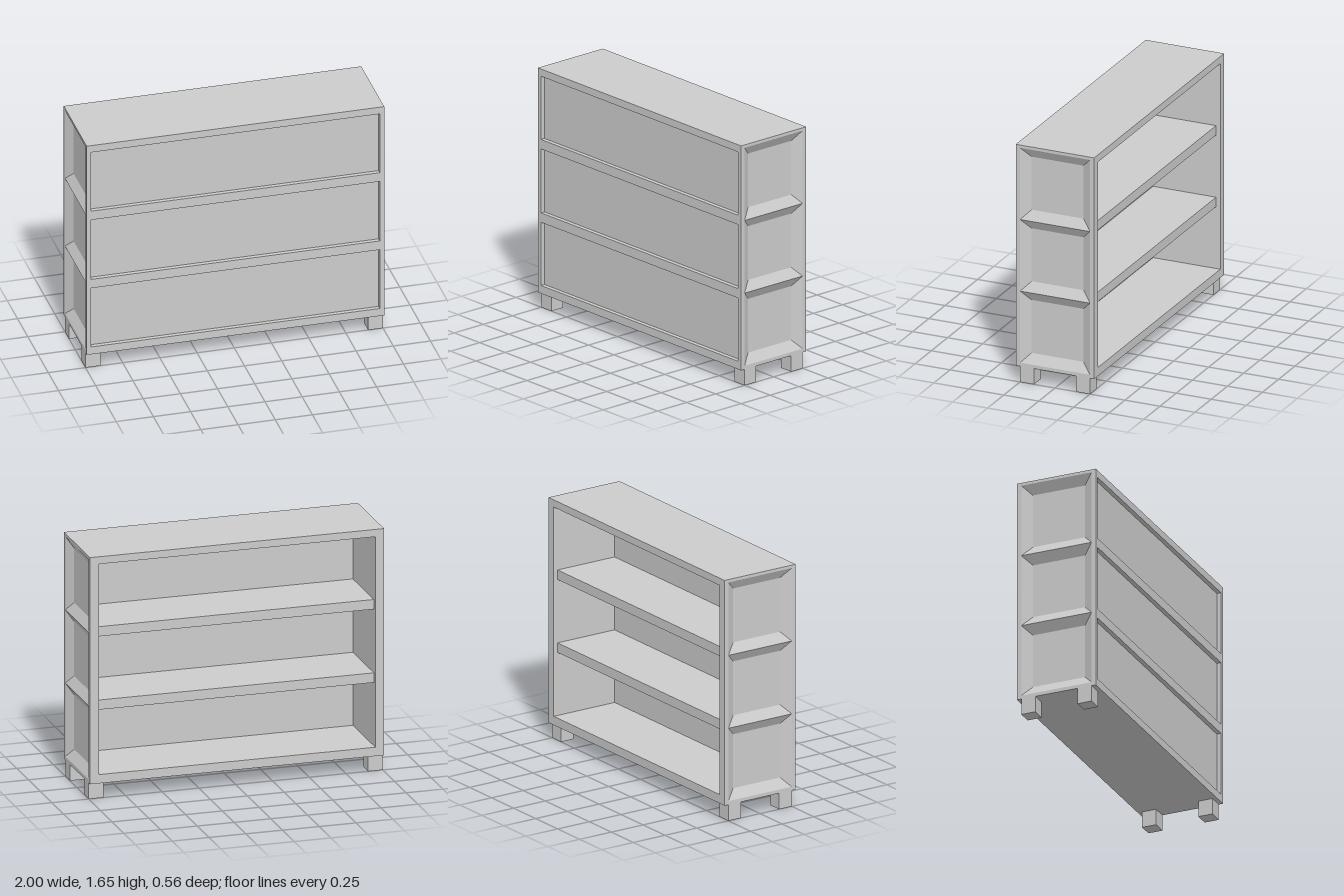
import * as THREE from 'three';

const material = new THREE.MeshStandardMaterial({ color: 0xcccccc, flatShading: true, side: THREE.DoubleSide });

export function createModel() {
  const model = new THREE.Group();

  function add(name, geometry) {
    const mesh = new THREE.Mesh(geometry, material);
    mesh.name = name;
    model.add(mesh);
    return mesh;
  }

  // Box given by its limits on each axis
  function box(name, x0, x1, y0, y1, z0, z1) {
    add(name, new THREE.BoxGeometry(x1 - x0, y1 - y0, z1 - z0))
      .position.set((x0 + x1) / 2, (y0 + y1) / 2, (z0 + z1) / 2);
  }

  // Flat frame across the full width with rectangular openings
  function frame(name, z, halfWidth, openings) {
    const rect = (Type, w, y0, y1) => new Type([
      new THREE.Vector2(-w, y0), new THREE.Vector2(w, y0),
      new THREE.Vector2(w, y1), new THREE.Vector2(-w, y1),
    ]);
    const shape = rect(THREE.Shape, 1, 0.11, 1.655);
    for (const [y0, y1] of openings) shape.holes.push(rect(THREE.Path, halfWidth, y0, y1));
    add(name, new THREE.ExtrudeGeometry(shape, { depth: 0.03, bevelEnabled: false })).position.z = z;
  }

  // Four sloping faces running from the outer rim into a sunken side panel
  function bevel(side, y0, y1) {
    const corners = (x, inset) => [
      [side * x, y0 + inset, 0.25 - inset], [side * x, y0 + inset, -0.25 + inset],
      [side * x, y1 - inset, -0.25 + inset], [side * x, y1 - inset, 0.25 - inset],
    ];
    const outer = corners(1, 0), inner = corners(0.96, 0.065);
    const points = [];
    for (let i = 0; i < 4; i++) {
      const j = (i + 1) % 4;
      const quad = [outer[i], outer[j], inner[j], inner[i]];
      const order = side > 0 ? [0, 1, 2, 0, 2, 3] : [0, 2, 1, 0, 3, 2];
      for (const k of order) points.push(...quad[k]);
    }
    const geometry = new THREE.BufferGeometry();
    geometry.setAttribute('position', new THREE.Float32BufferAttribute(points, 3));
    geometry.computeVertexNormals();
    add('sideBevel', geometry);
  }

  // Front with three sunken panels, open back
  frame('frontFrame', 0.25, 0.97, [[0.165, 0.6], [0.665, 1.105], [1.17, 1.605]]);
  frame('backFrame', -0.28, 0.94, [[0.17, 1.605]]);
  box('frontPanelFace', -0.98, 0.98, 0.12, 1.645, 0.24, 0.25);
  box('frontPanelCore', -0.95, 0.95, 0.12, 1.645, 0.2, 0.24);

  // Top and bottom: outer skin plus thicker inner board
  box('bottomSkin', -1, 1, 0.11, 0.135, -0.25, 0.25);
  box('topSkin', -1, 1, 1.635, 1.655, -0.25, 0.25);
  box('floorBoard', -0.95, 0.95, 0.13, 0.17, -0.25, 0.2);
  box('ceilingBoard', -0.95, 0.95, 1.605, 1.64, -0.25, 0.2);

  // Inner shelves, set in slightly from the back
  for (const y of [0.635, 1.135]) box('shelf', -0.94, 0.94, y - 0.033, y + 0.033, -0.25, 0.2);

  // Side walls with three bevelled recesses, and feet
  for (const side of [-1, 1]) {
    const span = (a, b) => (side > 0 ? [a, b] : [-b, -a]);
    box('sideWall', ...span(0.94, 0.96), 0.13, 1.64, -0.25, 0.2);
    for (let i = 0; i < 3; i++) bevel(side, 0.135 + i * 0.5, 0.635 + i * 0.5);
    for (const z of [-0.25, 0.15]) box('foot', ...span(0.9, 1), 0, 0.11, z, z + 0.1);
  }
  return model;
}
